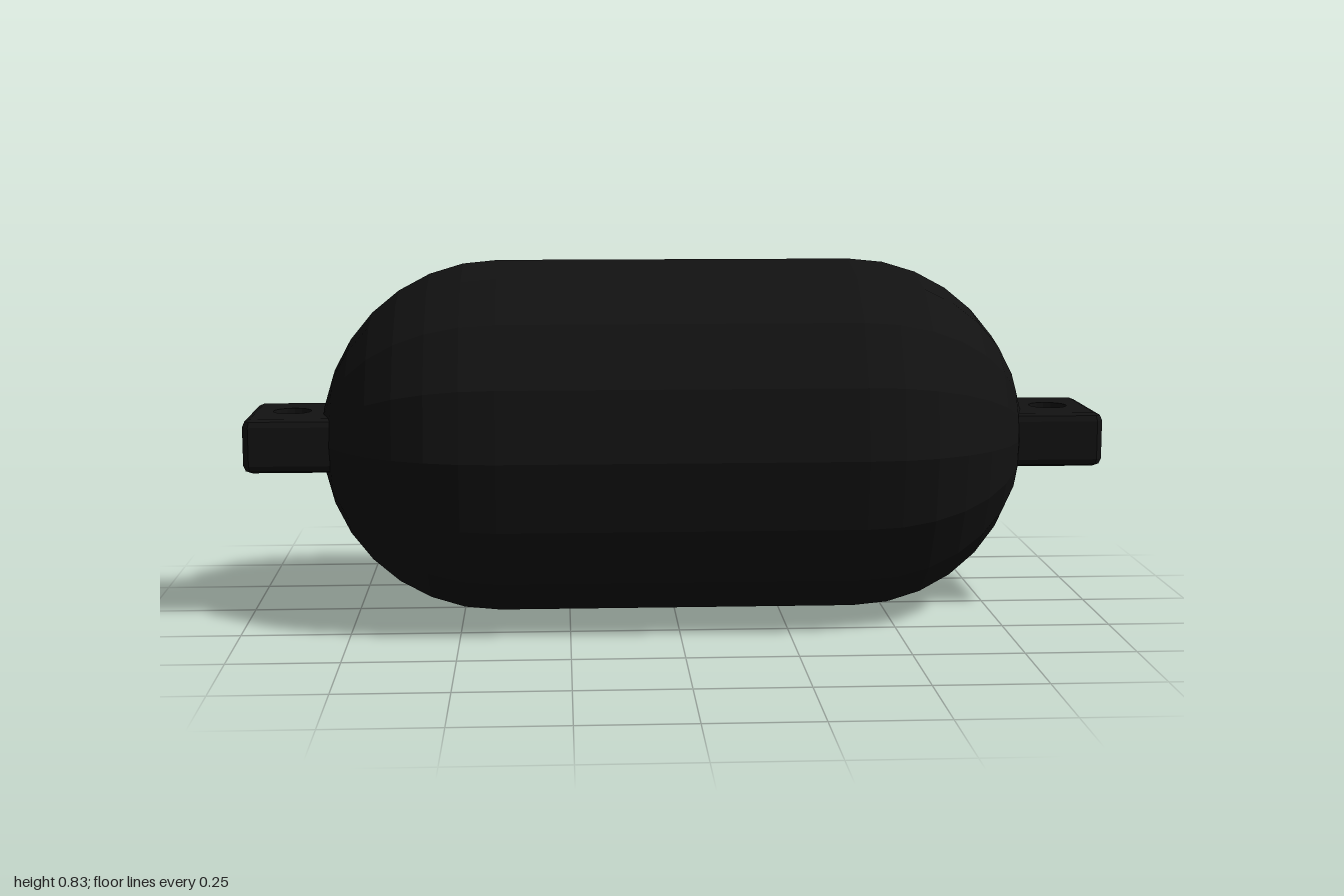
import * as THREE from 'three';

const R = 0.417;      // body radius
const CAP = 0.413;    // x where the rounded ends begin

const rubber = new THREE.MeshStandardMaterial({ color: 0x121212, flatShading: true });

// Capsule body: sixteen sides, rounded ends, lying along x
function makeBody() {
  const profile = [];
  for (const end of [-1, 1]) {
    for (let i = 0; i <= 8; i++) {
      const a = (end < 0 ? 8 - i : i) * Math.PI / 16;
      profile.push(new THREE.Vector2(Math.max(0, R * Math.cos(a)), end * (CAP + R * Math.sin(a))));
    }
  }
  const body = new THREE.Mesh(new THREE.LatheGeometry(profile, 16).rotateZ(-Math.PI / 2), rubber);
  body.name = 'body';
  return body;
}

// Bevelled eyelet tab with a straight rope hole
function makeTab() {
  const x0 = 0.74, x1 = 1, w = 0.147, c = 0.014, bevel = 0.018, thick = 0.126;
  const holeX = 0.9, holeR = 0.045;
  const shape = new THREE.Shape([
    [x0, -w], [x1 - c, -w], [x1, -w + c], [x1, w - c], [x1 - c, w], [x0, w],
  ].map(([x, y]) => new THREE.Vector2(x, y)));
  const hole = new THREE.Path();
  hole.absarc(holeX, 0, holeR, 0, Math.PI * 2, true);
  shape.holes.push(hole);
  const geo = new THREE.ExtrudeGeometry(shape, {
    depth: thick - 2 * bevel, steps: 1, curveSegments: 8,
    bevelEnabled: true, bevelThickness: bevel, bevelSize: bevel, bevelOffset: -bevel, bevelSegments: 2,
  });
  // Pull the rim of the hole back to one radius so its wall is straight
  const p = geo.attributes.position;
  for (let i = 0; i < p.count; i++) {
    const dx = p.getX(i) - holeX, dy = p.getY(i), d = Math.hypot(dx, dy);
    if (d < holeR + bevel * 1.5) p.setXY(i, holeX + dx / d * holeR, dy / d * holeR);
  }
  geo.translate(0, 0, bevel - thick / 2).rotateX(-Math.PI / 2);
  geo.computeVertexNormals();
  return geo;
}

export function createModel() {
  const model = new THREE.Group();
  model.name = 'fender';
  model.add(makeBody());

  const tabGeometry = makeTab();
  for (const side of ['left', 'right']) {
    const tab = new THREE.Mesh(tabGeometry, rubber);
    tab.name = side + 'EyeletTab';
    if (side === 'right') tab.rotation.y = Math.PI;
    model.add(tab);
  }
  model.children.forEach((part) => { part.position.y = R; });
  return model;
}
